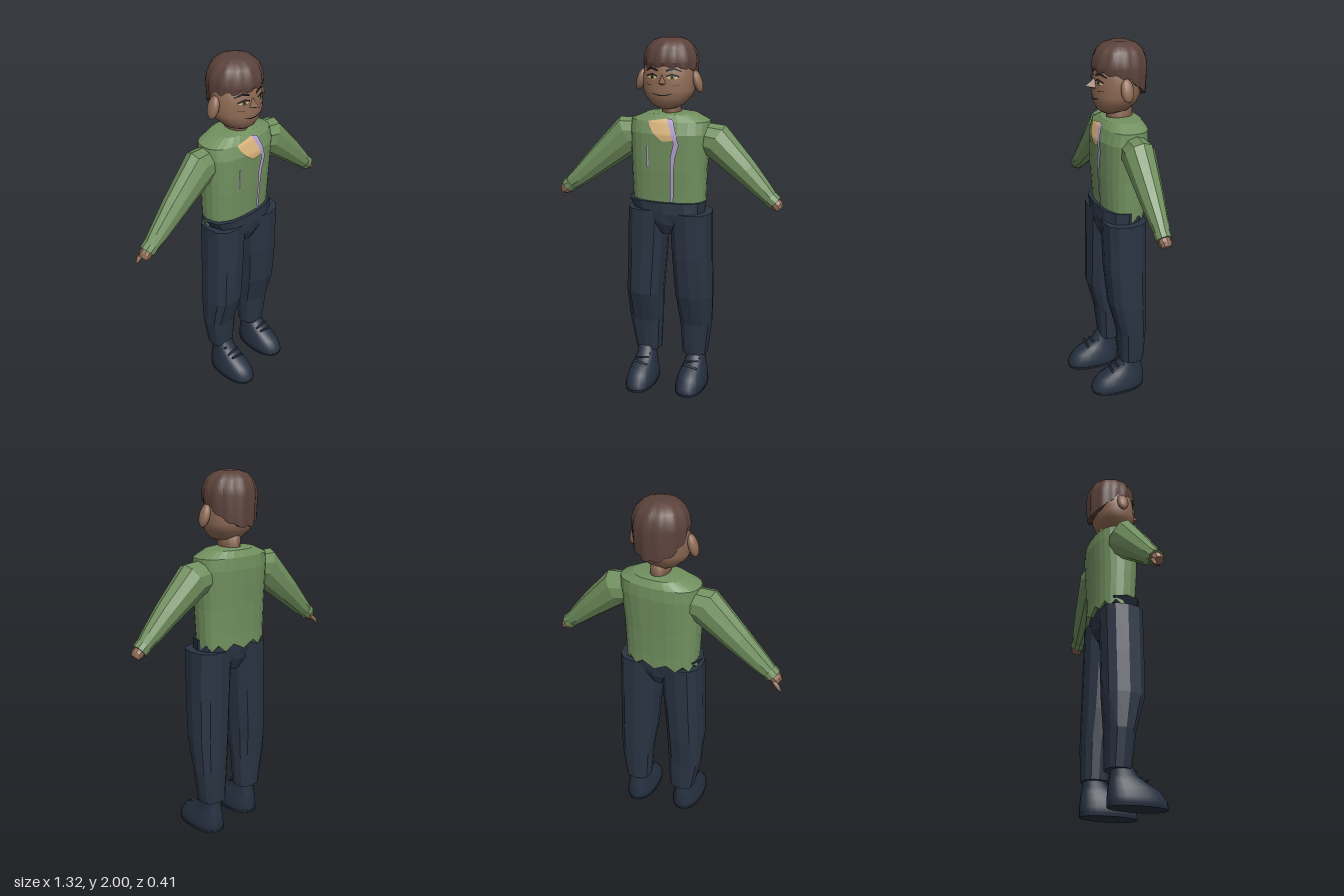
import * as THREE from 'three';
import { toCreasedNormals } from 'three/addons/utils/BufferGeometryUtils.js';
import { ConvexGeometry } from 'three/addons/geometries/ConvexGeometry.js';

const mat = (name, color, extra = {}) => new THREE.MeshStandardMaterial({ name, color, ...extra });
const double = { side: THREE.DoubleSide };
const M = {
  shirt: mat('shirt green', 0x71905f), pants: mat('trouser navy', 0x2a3443),
  shoe: mat('shoe navy', 0x263040), skin: mat('skin brown', 0x8e6a55),
  hair: mat('hair brown', 0x5b423b, double), lilac: mat('stripe lilac', 0xb59fd0, double),
  tan: mat('patch tan', 0xdab57d, double), dark: mat('line black', 0x1c1a1c, double),
  iris: mat('iris green', 0x69734f, double), blush: mat('cheek brown', 0x6c4a3c, double),
};

// Lofts superellipse rings [x, y, z, rx, rz]; rings run upward, or follow the path when along is set.
function loft(rings, { sides = 12, p = 2, along = false, flat = false, crease = 0, tweak, caps = true } = {}) {
  const pos = [], idx = [], n = rings.length;
  const pw = (t) => Math.sign(t) * Math.abs(t) ** (2 / p);
  rings.forEach(([x, y, z, rx, rz], i) => {
    const a = rings[Math.max(i - 1, 0)], b = rings[Math.min(i + 1, n - 1)];
    const d = along ? new THREE.Vector2(b[0] - a[0], b[1] - a[1]).normalize() : new THREE.Vector2(0, 1);
    for (let j = 0; j < sides; j++) {
      const t = (j / sides) * Math.PI * 2, c = pw(Math.cos(t)) * rx, s = pw(Math.sin(t)) * rz;
      const v = new THREE.Vector3(x + d.y * c, y - d.x * c, z + s);
      if (tweak) tweak(v, i, j, t);
      pos.push(v.x, v.y, v.z);
    }
  });
  for (let i = 0; i < n - 1; i++) for (let j = 0; j < sides; j++) {
    const k = (j + 1) % sides, a = i * sides + j, b = i * sides + k;
    idx.push(a, a + sides, b + sides, a, b + sides, b);
  }
  if (caps) {
    pos.push(...rings[0].slice(0, 3), ...rings[n - 1].slice(0, 3));
    const c0 = n * sides, top = (n - 1) * sides;
    for (let j = 0; j < sides; j++) {
      const k = (j + 1) % sides;
      idx.push(c0, j, k, c0 + 1, top + k, top + j);
    }
  }
  let g = new THREE.BufferGeometry();
  g.setAttribute('position', new THREE.Float32BufferAttribute(pos, 3));
  g.setIndex(idx);
  if (flat) g = g.toNonIndexed();
  g.computeVertexNormals();
  return crease ? toCreasedNormals(g, crease) : g;
}

// Front depth of an upright loft at x, y.
function frontZ(rings, p, x, y) {
  let i = 0;
  while (i < rings.length - 2 && rings[i + 1][1] < y) i++;
  const a = rings[i], b = rings[i + 1], f = THREE.MathUtils.clamp((y - a[1]) / (b[1] - a[1]), 0, 1);
  const r = a.map((v, k) => v + (b[k] - v) * f);
  return r[2] + r[4] * Math.max(0, 1 - Math.abs((x - r[0]) / r[3]) ** p) ** (1 / p);
}

// Thin painted strip through edge pairs [xa, ya, xb, yb], laid on the front of a loft.
function decal(rings, p, pairs, lift = 0.005) {
  const pos = [], idx = [], N = 4, rows = (pairs.length - 1) * N;
  for (let r = 0; r <= rows; r++) {
    const i = Math.min(Math.floor(r / N), pairs.length - 2), f = r / N - i;
    const e = pairs[i].map((v, k) => v + (pairs[i + 1][k] - v) * f);
    for (let c = 0; c <= N; c++) {
      const x = e[0] + (e[2] - e[0]) * c / N, y = e[1] + (e[3] - e[1]) * c / N;
      pos.push(x, y, frontZ(rings, p, x, y) + lift);
      if (r < rows && c < N) {
        const a = r * (N + 1) + c, b = a + N + 1;
        idx.push(a, b, b + 1, a, b + 1, a + 1);
      }
    }
  }
  const g = new THREE.BufferGeometry();
  g.setAttribute('position', new THREE.Float32BufferAttribute(pos, 3));
  g.setIndex(idx);
  g.computeVertexNormals();
  // Normals face forward whichever way the strip runs.
  if (g.attributes.normal.getZ(0) < 0) {
    g.setIndex(idx.reverse());
    g.computeVertexNormals();
  }
  return g;
}

export function createModel() {
  const group = new THREE.Group();
  group.name = 'figure';
  const add = (name, geo, material) => {
    const m = new THREE.Mesh(geo, material);
    m.name = name;
    group.add(m);
    return m;
  };

  // Shirt body with a ragged back hem
  const torso = [[0.02, 1.07, -0.062, 0.205, 0.115], [0.02, 1.15, -0.06, 0.208, 0.116], [0.02, 1.3, -0.057, 0.212, 0.123],
    [0.025, 1.5, -0.059, 0.222, 0.131], [0.025, 1.565, -0.067, 0.218, 0.118], [0.03, 1.6, -0.07, 0.14, 0.095], [0.03, 1.608, -0.068, 0.06, 0.07]];
  add('shirt', loft(torso, { sides: 24, p: 2.5, flat: true,
    tweak: (v, i, j) => { if (i === 0 && j % 2) v.y += 0.035; } }), M.shirt);
  add('shirtPatch', decal(torso, 2.5, [[-0.065, 1.567, 0.045, 1.585], [-0.055, 1.54, 0.06, 1.54],
    [-0.03, 1.505, 0.08, 1.5], [0.02, 1.465, 0.085, 1.473]]), M.tan);
  add('shirtStripe', decal(torso, 2.5, [[0.037, 1.585, 0.073, 1.578], [0.062, 1.53, 0.09, 1.53], [0.083, 1.455, 0.112, 1.45],
    [0.065, 1.38, 0.092, 1.38], [0.065, 1.3, 0.083, 1.3], [0.063, 1.13, 0.08, 1.13]], 0.008), M.lilac);
  add('shirtSlit', decal(torso, 2.5, [[-0.07, 1.435, -0.06, 1.435], [-0.071, 1.32, -0.06, 1.32]], 0.006), M.lilac);

  // Sleeves, cuffs and hands
  const arms = {
    right: [[-0.12, 1.475, -0.07, 0.085, 0.07], [-0.218, 1.468, -0.066, 0.108, 0.077], [-0.405, 1.305, -0.06, 0.077, 0.062],
      [-0.53, 1.195, -0.053, 0.055, 0.047], [-0.598, 1.14, -0.05, 0.038, 0.038]],
    left: [[0.17, 1.475, -0.07, 0.085, 0.07], [0.278, 1.46, -0.07, 0.1, 0.085], [0.445, 1.307, -0.064, 0.072, 0.064],
      [0.545, 1.21, -0.062, 0.053, 0.048], [0.605, 1.153, -0.06, 0.037, 0.038]],
  };
  for (const [side, rings] of Object.entries(arms)) {
    const s = side === 'left' ? 1 : -1, [x, y, z] = rings[4];
    add(side + 'Sleeve', loft(rings, { sides: 10, along: true, flat: true }), M.shirt);
    add(side + 'Cuff', loft([[x - s * 0.022, y + 0.02, z, 0.044, 0.043], [x + s * 0.007, y - 0.006, z, 0.044, 0.041]],
      { sides: 10, along: true, flat: true }), M.shirt);
    add(side + 'Hand', loft([[x - s * 0.01, y + 0.01, z, 0.03, 0.031], [x + s * 0.02, y - 0.02, z, 0.034, 0.033],
      [x + s * 0.036, y - 0.036, z, 0.022, 0.025]], { sides: 10, along: true, flat: true }), M.skin);
  }
  add('rightFinger', loft([[-0.615, 1.115, -0.075, 0.012, 0.012], [-0.64, 1.09, -0.08, 0.012, 0.012],
    [-0.655, 1.07, -0.08, 0.006, 0.007]], { sides: 8, along: true }), M.skin);

  // Trousers: seat, then each leg from cuff to hip
  const flatCloth = { sides: 12, p: 2.5, flat: true };
  add('trouserSeat', loft([[0.03, 0.94, -0.04, 0.042, 0.085], [0.03, 1.0, -0.04, 0.09, 0.112], [0.03, 1.06, -0.041, 0.2, 0.118],
    [0.012, 1.125, -0.043, 0.22, 0.118]], flatCloth), M.pants);
  add('rightTrouserLeg', loft([[-0.105, 0.185, -0.06, 0.074, 0.066], [-0.117, 0.38, -0.055, 0.098, 0.077],
    [-0.115, 0.57, -0.036, 0.105, 0.113], [-0.102, 0.8, -0.037, 0.11, 0.116], [-0.09, 1.075, -0.04, 0.115, 0.118]], flatCloth), M.pants);
  add('leftTrouserLeg', loft([[0.175, 0.185, -0.085, 0.075, 0.07], [0.18, 0.38, -0.08, 0.094, 0.08],
    [0.173, 0.57, -0.055, 0.108, 0.105], [0.163, 0.8, -0.043, 0.113, 0.115], [0.153, 1.065, -0.04, 0.118, 0.118]], flatCloth), M.pants);

  // Shoes with laces; front and heel depth per height
  for (const [side, cx, dz] of [['right', -0.11, 0], ['left', 0.181, -0.045]]) {
    const profile = [[0.005, 0.195, -0.11, 0.08], [0.015, 0.204, -0.115, 0.085], [0.045, 0.198, -0.115, 0.083], [0.09, 0.162, -0.112, 0.074],
      [0.125, 0.1, -0.108, 0.061], [0.155, 0.045, -0.1, 0.055], [0.215, 0.005, -0.095, 0.05]];
    add(side + 'Shoe', loft(profile.map(([y, f, b, w]) => [cx, y, (f + b) / 2 + dz, w, (f - b) / 2]),
      { sides: 24, p: 2.3, crease: 0.7 }), M.shoe);
    add(side + 'Sole', loft([[cx, 0, 0.045 + dz, 0.085, 0.158], [cx, 0.014, 0.045 + dz, 0.088, 0.161]],
      { sides: 24, p: 2.3, crease: 0.7 }), M.shoe);
    for (let i = 0; i < 3; i++) {
      const lace = add(side + 'Lace', new THREE.CapsuleGeometry(0.006, 0.075, 3, 6), M.shoe);
      lace.position.set(cx, 0.138 + i * 0.018, 0.088 - i * 0.034 + dz);
      lace.rotation.z = Math.PI / 2 + (i % 2 ? 0.2 : -0.2);
    }
  }

  // Neck and head
  add('neck', loft([[0.03, 1.59, -0.065, 0.05, 0.072], [0.025, 1.68, -0.06, 0.052, 0.07]], { sides: 16 }), M.skin);
  const head = [[0.02, 1.632, -0.015, 0.045, 0.045], [0.02, 1.65, -0.03, 0.085, 0.085], [0.02, 1.69, -0.04, 0.124, 0.112],
    [0.02, 1.73, -0.045, 0.141, 0.121], [0.02, 1.8, -0.05, 0.142, 0.121], [0.022, 1.87, -0.055, 0.13, 0.118], [0.025, 1.93, -0.06, 0.09, 0.08]];
  add('head', loft(head, { sides: 28, p: 2.1 }), M.skin);
  add('nose', toCreasedNormals(new ConvexGeometry([[0.019, 1.818, 0.066], [-0.006, 1.766, 0.062], [0.044, 1.766, 0.062],
    [0.019, 1.776, 0.122], [0.019, 1.757, 0.066]].map((v) => new THREE.Vector3(...v))), 0.4), M.skin);

  // Mirrored ears, eyes, brows and cheek marks
  for (const s of [-1, 1]) {
    const name = s > 0 ? 'left' : 'right', X = (d) => 0.019 + s * d;
    const ear = add(name + 'Ear', new THREE.SphereGeometry(1, 14, 10), M.skin);
    ear.scale.set(0.024, 0.06, 0.034);
    ear.position.set(X(0.158), 1.773, -0.045);
    ear.rotation.z = s * 0.3;
    const face = (part, pairs, material, lift) => add(name + part, decal(head, 2.1,
      pairs.map(([a, b, c, d]) => [X(a), b, X(c), d]), lift), material);
    face('Eye', [[0.028, 1.798, 0.028, 1.805], [0.052, 1.787, 0.052, 1.817], [0.083, 1.797, 0.083, 1.806]], M.tan, 0.004);
    face('Iris', [[0.043, 1.79, 0.043, 1.813], [0.066, 1.79, 0.066, 1.813]], M.iris, 0.006);
    face('Pupil', [[0.05, 1.795, 0.05, 1.809], [0.06, 1.795, 0.06, 1.809]], M.dark, 0.008);
    face('Eyelid', [[0.026, 1.803, 0.026, 1.81], [0.052, 1.812, 0.052, 1.821], [0.088, 1.801, 0.088, 1.809]], M.dark, 0.009);
    face('Brow', [[0.022, 1.829, 0.022, 1.84], [0.06, 1.84, 0.06, 1.853], [0.098, 1.828, 0.098, 1.834]], M.dark, 0.006);
    face('CheekMark', [[0.055, 1.755, 0.055, 1.76], [0.09, 1.76, 0.09, 1.767]], M.blush);
  }
  add('mouth', decal(head, 2.1, [[-0.035, 1.715, -0.035, 1.719], [0, 1.706, 0, 1.712], [0.04, 1.706, 0.04, 1.712],
    [0.072, 1.717, 0.072, 1.721]]), M.dark);

  // Hair: wavy dome, short over the forehead and long at the nape
  const hair = [[0.84, 1.8], [0.98, 1.8], [1.02, 1.875], [0.97, 1.915], [0.84, 1.955], [0.62, 1.982], [0.32, 1.996], [0.04, 1.992]]
    .map(([r, y]) => [0.025, y, -0.062, 0.141 * r, 0.139 * r]);
  add('hair', loft(hair, { sides: 60, crease: 0.5, tweak: (v, i, j, t) => {
    const s = Math.sin(t), lock = Math.abs(Math.sin(6 * t + i * 0.25));
    const k = 0.97 + 0.06 * lock;
    v.x = 0.025 + (v.x - 0.025) * k;
    v.z = -0.062 + (v.z + 0.062) * k;
    if (i < 2) v.y = 1.832 + (s > 0 ? 0.03 : 0.105) * s - 0.012 * lock;
  } }), M.hair);

  return group;
}
